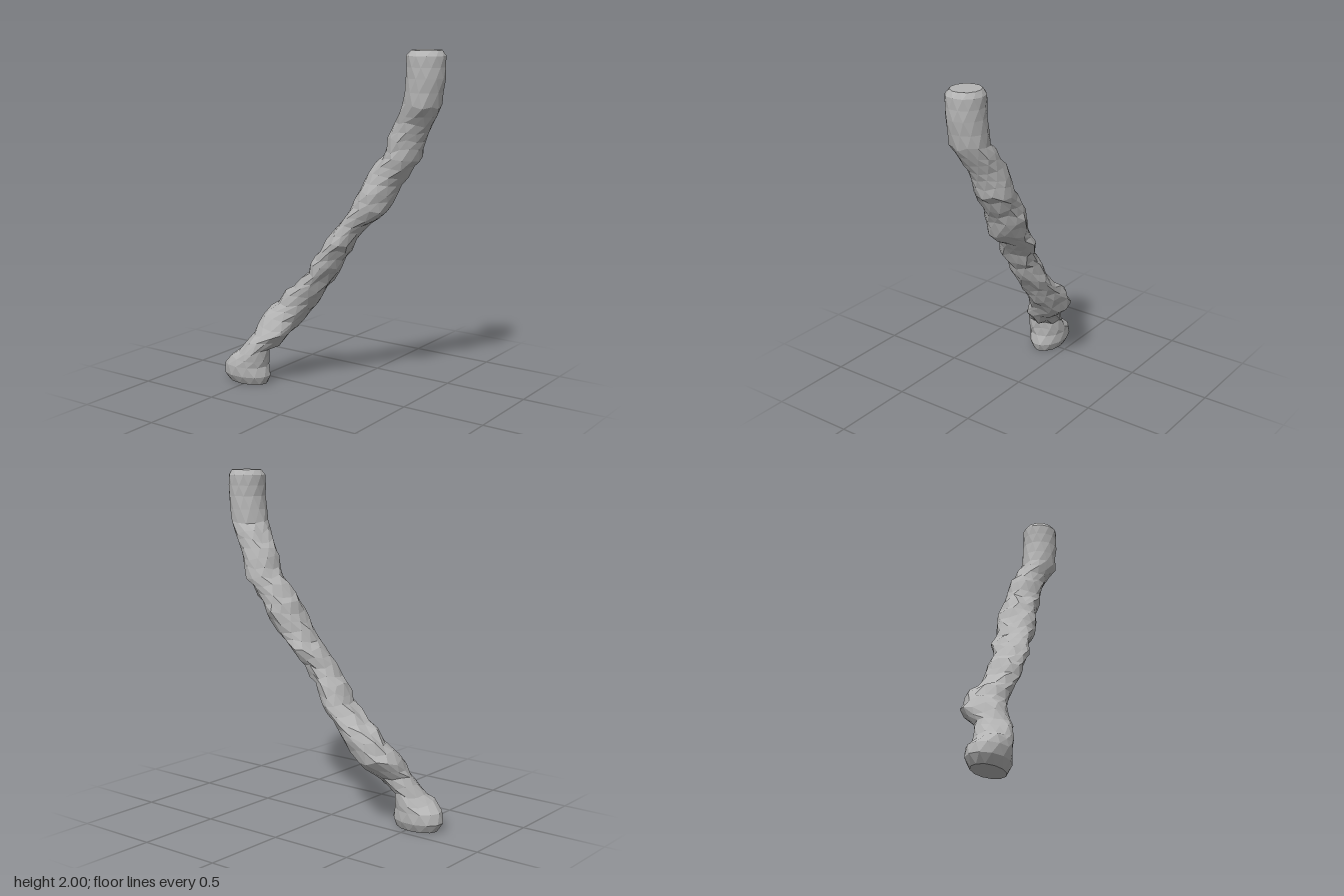
import * as THREE from 'three';

// Level slices up the stick: y, xMin, xMax, zMin, zMax
const SLICES = [
  [0, -0.65, -0.39, 0.05, 0.21],
  [0.05, -0.68, -0.37, 0.025, 0.24],
  [0.11, -0.665, -0.385, 0.025, 0.245],
  [0.2, -0.56, -0.38, 0.03, 0.235],
  [0.3, -0.49, -0.27, -0.01, 0.18],
  [0.4, -0.46, -0.215, -0.12, 0.13],
  [0.5, -0.39, -0.13, -0.13, 0.085],
  [0.6, -0.26, -0.07, -0.135, 0.08],
  [0.7, -0.155, 0.01, -0.135, 0.08],
  [0.8, -0.11, 0.06, -0.13, 0.08],
  [0.9, -0.03, 0.13, -0.135, 0.075],
  [1.0, 0.03, 0.2, -0.185, 0.045],
  [1.1, 0.1, 0.325, -0.185, 0.03],
  [1.2, 0.155, 0.36, -0.225, 0.02],
  [1.3, 0.205, 0.42, -0.22, -0.01],
  [1.4, 0.28, 0.5, -0.235, -0.02],
  [1.5, 0.32, 0.53, -0.22, -0.02],
  [1.6, 0.37, 0.585, -0.205, -0.015],
  [1.7, 0.435, 0.645, -0.19, 0.02],
  [1.85, 0.455, 0.67, -0.185, 0.025],
  [1.97, 0.455, 0.67, -0.185, 0.025],
  [2.0, 0.48, 0.65, -0.165, 0],
];
const SIDES = 12;

// Small repeatable noise in -1..1
let seed = 7;
function noise() {
  seed = (seed * 16807) % 2147483647;
  return (seed / 2147483647) * 2 - 1;
}

// Slices with a midway slice added between the knotty ones
function refinedSlices() {
  const out = [];
  SLICES.forEach((s, i) => {
    out.push(s);
    const next = SLICES[i + 1];
    if (next && next[0] - s[0] > 0.07) out.push(s.map((v, k) => (v + next[k]) / 2));
  });
  return out;
}

function stickGeometry() {
  const slices = refinedSlices();
  const positions = [];
  const index = [];

  // Faceted rings, each turned half a step from the last
  slices.forEach(([y, x0, x1, z0, z1], r) => {
    const knotty = y > 0.15 && y < 1.75 ? 1 : 0;
    for (let i = 0; i < SIDES; i++) {
      const a = ((i + (r % 2) / 2) / SIDES) * Math.PI * 2;
      const k = 1.015 + knotty * 0.055 * noise();
      positions.push(
        (x0 + x1) / 2 + ((x1 - x0) / 2) * k * Math.cos(a),
        y + knotty * 0.016 * noise(),
        (z0 + z1) / 2 + ((z1 - z0) / 2) * k * Math.sin(a)
      );
    }
  });

  // Bark between neighbouring rings
  for (let r = 0; r < slices.length - 1; r++) {
    for (let i = 0; i < SIDES; i++) {
      const j = (i + 1) % SIDES;
      const a = r * SIDES + i, b = r * SIDES + j;
      const c = a + SIDES, d = b + SIDES;
      if (r % 2 === 0) index.push(a, c, b, b, c, d);
      else index.push(a, c, d, a, d, b);
    }
  }

  // End caps
  const addCap = (r, top) => {
    const [y, x0, x1, z0, z1] = slices[r];
    const centre = positions.length / 3;
    positions.push((x0 + x1) / 2, y, (z0 + z1) / 2);
    for (let i = 0; i < SIDES; i++) {
      const a = r * SIDES + i, b = r * SIDES + ((i + 1) % SIDES);
      if (top) index.push(centre, b, a);
      else index.push(centre, a, b);
    }
  };
  addCap(0, false);
  addCap(slices.length - 1, true);

  const geometry = new THREE.BufferGeometry();
  geometry.setAttribute('position', new THREE.Float32BufferAttribute(positions, 3));
  geometry.setIndex(index);
  geometry.computeVertexNormals();
  return geometry;
}

export function createModel() {
  const group = new THREE.Group();
  group.name = 'crookedStick';
  const grey = new THREE.MeshStandardMaterial({ color: 0xb4b4b4, flatShading: true });
  grey.name = 'paleGrey';
  const stick = new THREE.Mesh(stickGeometry(), grey);
  stick.name = 'stick';
  group.add(stick);
  return group;
}
